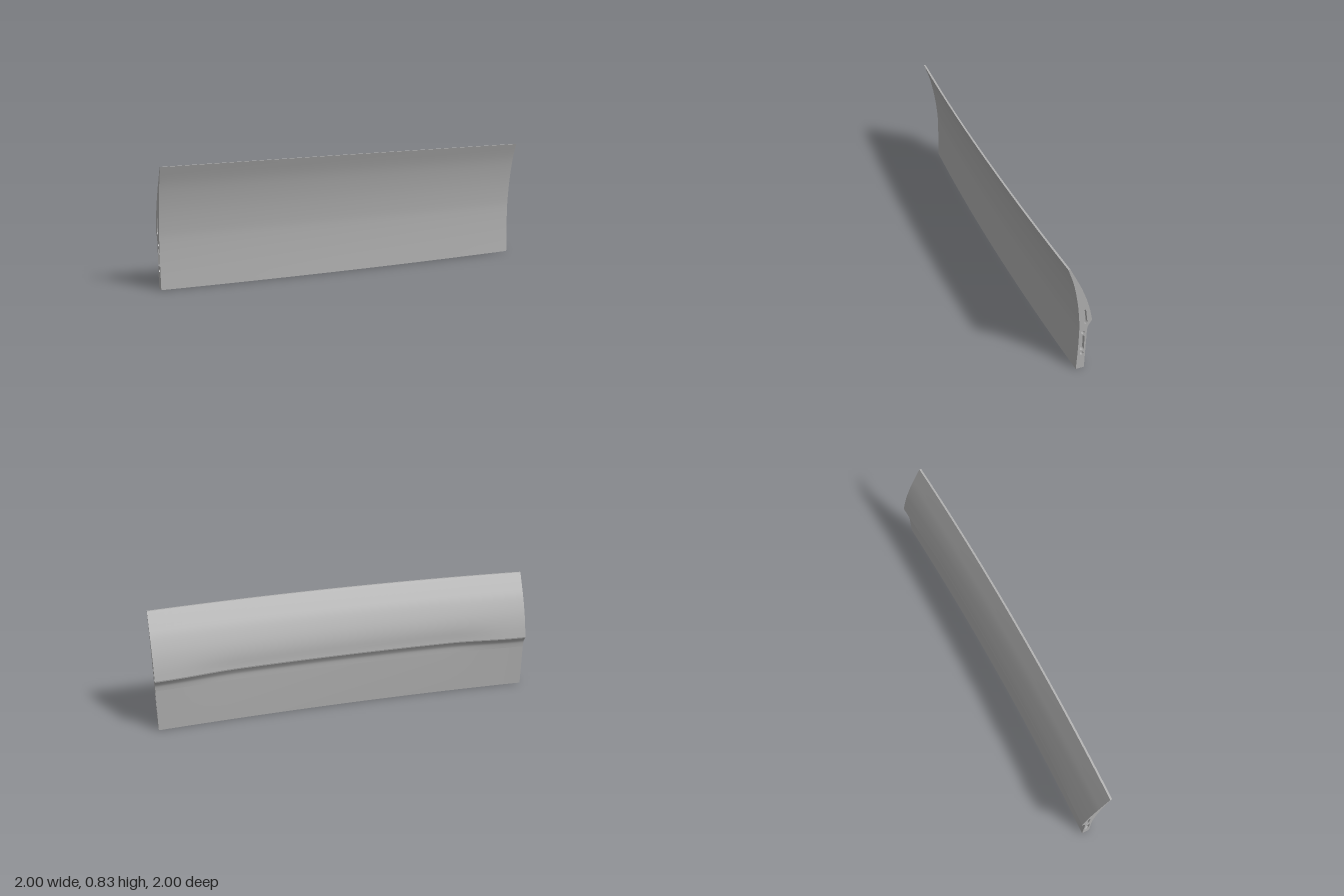
import * as THREE from 'three';

const U = 1.326;      // half length of the panel
const BOW = 0.035;    // outward bow along the length
const grey = new THREE.MeshStandardMaterial({ color: 0xb0b0b0, side: THREE.DoubleSide });
grey.name = 'panel grey';

// Cross-section as [depth, height] points, going round the panel
const outer = [[-0.002, 0], [-0.008, 0.15], [-0.010, 0.3], [-0.006, 0.4], [0.012, 0.55], [0.043, 0.7], [0.085, 0.825]];
const innerUpper = [[0.072, 0.825], [0.03, 0.74], [-0.008, 0.66], [-0.047, 0.56], [-0.074, 0.47], [-0.092, 0.387]];
const ridgeLip = [[-0.092, 0.387], [-0.09, 0.378]];
const ridgeUnder = [[-0.09, 0.378], [-0.072, 0.35], [-0.065, 0.33], [-0.062, 0.3]];
const innerLower = [[-0.062, 0.3], [-0.06, 0.15], [-0.058, 0]];

const smooth = (pts, n) =>
  new THREE.SplineCurve(pts.map(p => new THREE.Vector2(...p))).getPoints(n).map(v => [v.x, v.y]);

// Bowed position; the inner ridge stands out more towards both ends
function place(u, [n, y], isInner) {
  const b = 1 - (u / U) ** 2;
  const mid = 1 - THREE.MathUtils.smoothstep(Math.abs(u), 0.75, 1.25);
  const ridge = isInner ? mid * Math.exp(-(((y - 0.385) / 0.08) ** 2)) : 0;
  return [u, y * (1 + 0.009 * b) + 0.008 * ridge, n + BOW * b + 0.012 * ridge];
}

// Grid surface from rows of points
function grid(rows) {
  const w = rows[0].length, index = [];
  for (let i = 0; i < rows.length - 1; i++)
    for (let j = 0; j < w - 1; j++) {
      const a = i * w + j, b = a + w;
      index.push(a, b, b + 1, a, b + 1, a + 1);
    }
  const g = new THREE.BufferGeometry();
  g.setAttribute('position', new THREE.Float32BufferAttribute(rows.flat(2), 3));
  g.setIndex(index);
  g.computeVertexNormals();
  return g;
}

// Sweep part of the cross-section along the length
function sweep(profile, isInner) {
  const rows = [];
  for (let i = 0; i <= 48; i++) {
    const u = -U + (2 * U * i) / 48;
    rows.push(profile.map(p => place(u, p, isInner)));
  }
  return grid(rows);
}

function round(n, y, rn, ry, count = 16) {
  return Array.from({ length: count }, (_, i) => {
    const a = (i / count) * Math.PI * 2;
    return [n + rn * Math.cos(a), y + ry * Math.sin(a)];
  });
}

export function createModel() {
  const group = new THREE.Group();
  group.name = 'curvedPanel';
  const add = (name, geometry) => {
    const mesh = new THREE.Mesh(geometry, grey);
    mesh.name = name;
    group.add(mesh);
    return mesh;
  };

  // Long surfaces
  const out = smooth(outer, 24), up = smooth(innerUpper, 20), under = smooth(ridgeUnder, 8);
  add('outerSkin', sweep(out, false));
  add('topRim', sweep([out.at(-1), up[0]], false));
  add('innerUpperFace', sweep(up, true));
  add('ridgeLip', sweep(ridgeLip, true));
  add('ridgeUnderside', sweep(under, true));
  add('innerLowerFace', sweep(innerLower, true));
  add('bottomFace', sweep([innerLower.at(-1), out[0]], false));

  // End plates with recessed holes and slots
  const outline = [...out, ...up, ...ridgeLip.slice(1), ...under.slice(1), ...innerLower.slice(1)];
  const holes = [
    round(-0.036, 0.125, 0.012, 0.012),
    round(-0.036, 0.298, 0.012, 0.012),
    [[-0.049, 0.16], [-0.043, 0.152], [-0.027, 0.152], [-0.021, 0.16],
      [-0.021, 0.262], [-0.027, 0.27], [-0.043, 0.27], [-0.049, 0.262]],
    [[-0.062, 0.375], [-0.052, 0.362], [-0.038, 0.365], [-0.036, 0.475], [-0.042, 0.483], [-0.049, 0.465]],
  ];
  const depth = 0.025;
  for (const s of [-1, 1]) {
    const side = s < 0 ? 'right' : 'left';
    const vec = pts => pts.map(([n, y]) => new THREE.Vector2(-s * n, y));
    const flat = (shape, u) => new THREE.ShapeGeometry(shape).rotateY((s * Math.PI) / 2).translate(s * u, 0, 0);
    const plate = new THREE.Shape(vec(outline));
    plate.holes = holes.map(h => new THREE.Path(vec(h)));
    add(side + 'EndPlate', flat(plate, U));
    holes.forEach((h, k) => {
      const loop = [...h, h[0]];
      const ring = u => loop.map(([n, y]) => [s * u, y, n]);
      const rows = s > 0 ? [ring(U), ring(U - depth)] : [ring(U - depth), ring(U)];
      add(`${side}RecessWall${k + 1}`, grid(rows));
      add(`${side}RecessFloor${k + 1}`, flat(new THREE.Shape(vec(h)), U - depth));
    });
  }

  // Small fasteners along the bottom
  for (const u of [-1.2, -0.6, 0, 0.6, 1.2]) {
    const disc = add('bottomFastener', new THREE.CylinderGeometry(0.009, 0.009, 0.003, 12));
    disc.position.set(u, 0.0005, -0.03 + BOW * (1 - (u / U) ** 2));
  }

  // The panel stands diagonally
  group.rotation.y = Math.PI / 4;
  return group;
}
